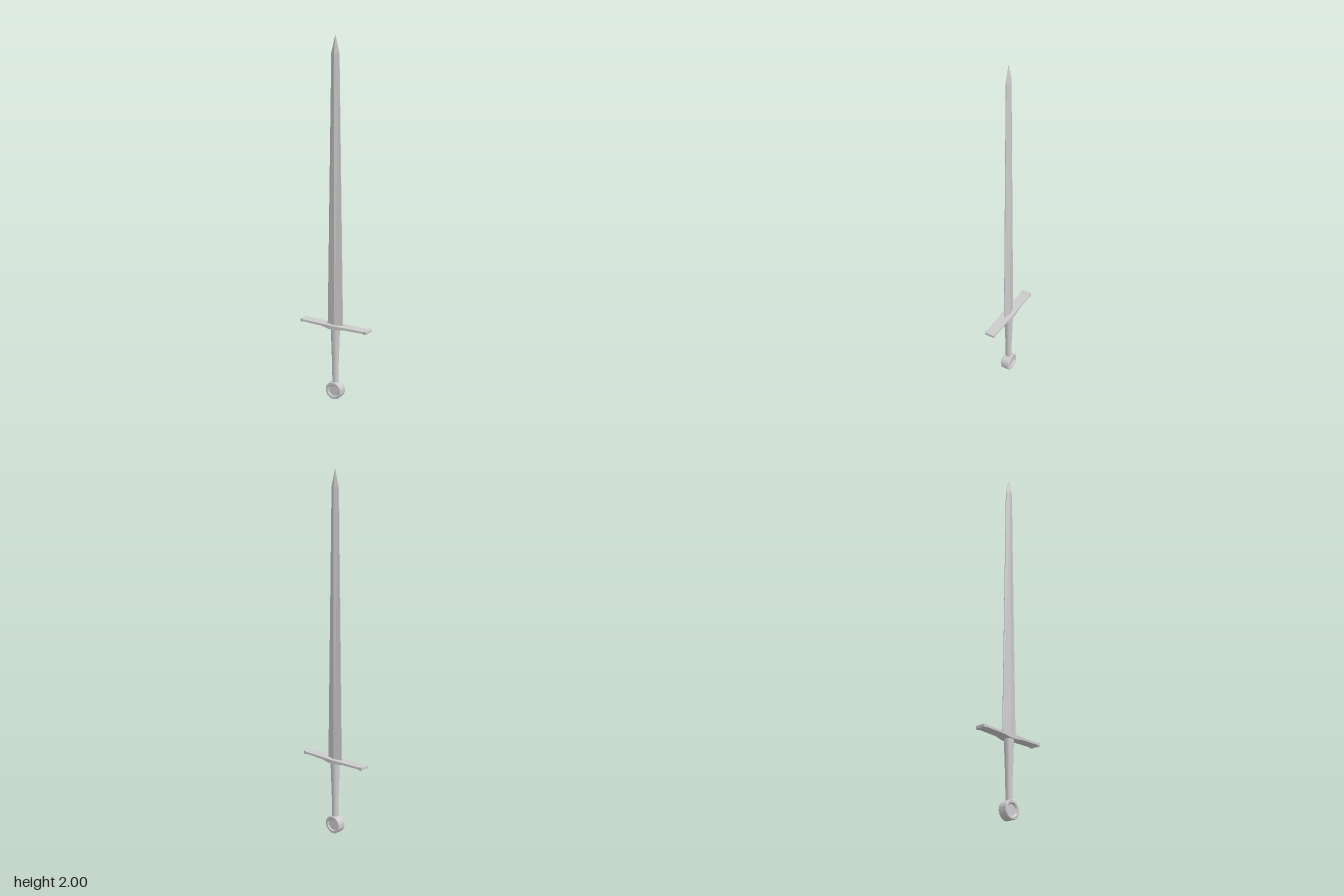
import * as THREE from 'three';
import { toCreasedNormals } from 'three/addons/utils/BufferGeometryUtils.js';

const smooth = new THREE.MeshStandardMaterial({ color: 0xcccccc });
const flat = new THREE.MeshStandardMaterial({ color: 0xcccccc, flatShading: true });

// Joins rings of points (counter-clockwise seen from the end of the axis) and caps both ends
function loft(rings) {
  const n = rings[0].length, last = rings.length - 1, index = [];
  for (let r = 0; r < last; r++) {
    for (let i = 0; i < n; i++) {
      const a = r * n + i, b = r * n + (i + 1) % n;
      index.push(a, b, b + n, a, b + n, a + n);
    }
  }
  for (let i = 1; i < n - 1; i++) {
    index.push(0, i + 1, i, last * n, last * n + i, last * n + i + 1);
  }
  const g = new THREE.BufferGeometry();
  g.setAttribute('position', new THREE.Float32BufferAttribute(rings.flat(2), 3));
  g.setIndex(index);
  const out = g.toNonIndexed();
  out.computeVertexNormals();
  return out;
}

function lathe(profile, sides, crease) {
  const points = profile.map(([r, y]) => new THREE.Vector2(r, y));
  return toCreasedNormals(new THREE.LatheGeometry(points, sides), crease);
}

export function createModel() {
  const sword = new THREE.Group();
  sword.name = 'sword';
  const add = (name, geometry, material) => {
    const mesh = new THREE.Mesh(geometry, material);
    mesh.name = name;
    sword.add(mesh);
    return mesh;
  };

  // Blade: diamond section with a central ridge and thin edges; [y, half width, half ridge, half edge]
  const blade = [
    [0.42, 0.049, 0.014, 0.002],
    [1.91, 0.024, 0.013, 0.002],
    [2.0, 0.0005, 0.0005, 0.0002],
  ].map(([y, w, t, e]) => [
    [0, y, t], [w, y, e], [w, y, -e], [0, y, -t], [-w, y, -e], [-w, y, e],
  ]);
  add('blade', loft(blade), flat);

  // Crossguard: flat bar, swollen in the middle, with thicker ends; [x, bottom, top, half depth]
  const half = [
    [0.025, 0.415, 0.436, 0.033],
    [0.07, 0.423, 0.436, 0.03],
    [0.193, 0.426, 0.437, 0.029],
    [0.196, 0.423, 0.441, 0.03],
    [0.21, 0.423, 0.441, 0.03],
    [0.213, 0.425, 0.439, 0.028],
  ];
  const stations = [
    ...half.map(([x, ...rest]) => [-x, ...rest]).reverse(),
    [0, 0.414, 0.436, 0.034],
    ...half,
  ];
  const guard = stations.map(([x, lo, hi, d]) => [
    [x, hi, -d], [x, hi, d], [x, lo, d], [x, lo, -d],
  ]);
  add('crossguard', loft(guard), flat);

  // Grip: round handle narrowing towards the pommel
  add('grip', lathe([
    [0.017, 0.09], [0.019, 0.21], [0.0245, 0.37], [0.026, 0.425],
  ], 16, 0.6), smooth);

  // Pommel: wheel facing front and back, with a dished recess on each face
  const face = [[0.047, 0.025], [0.036, 0.025], [0.029, 0.018], [0, 0.018]];
  const rim = [[0.05, -0.022], [0.05, 0.022]];
  const pommel = add('pommel', lathe([
    ...face.map(([r, z]) => [r, -z]).reverse(), ...rim, ...face,
  ], 32, 0.5), smooth);
  pommel.rotation.x = Math.PI / 2;
  pommel.position.y = 0.05;

  return sword;
}
